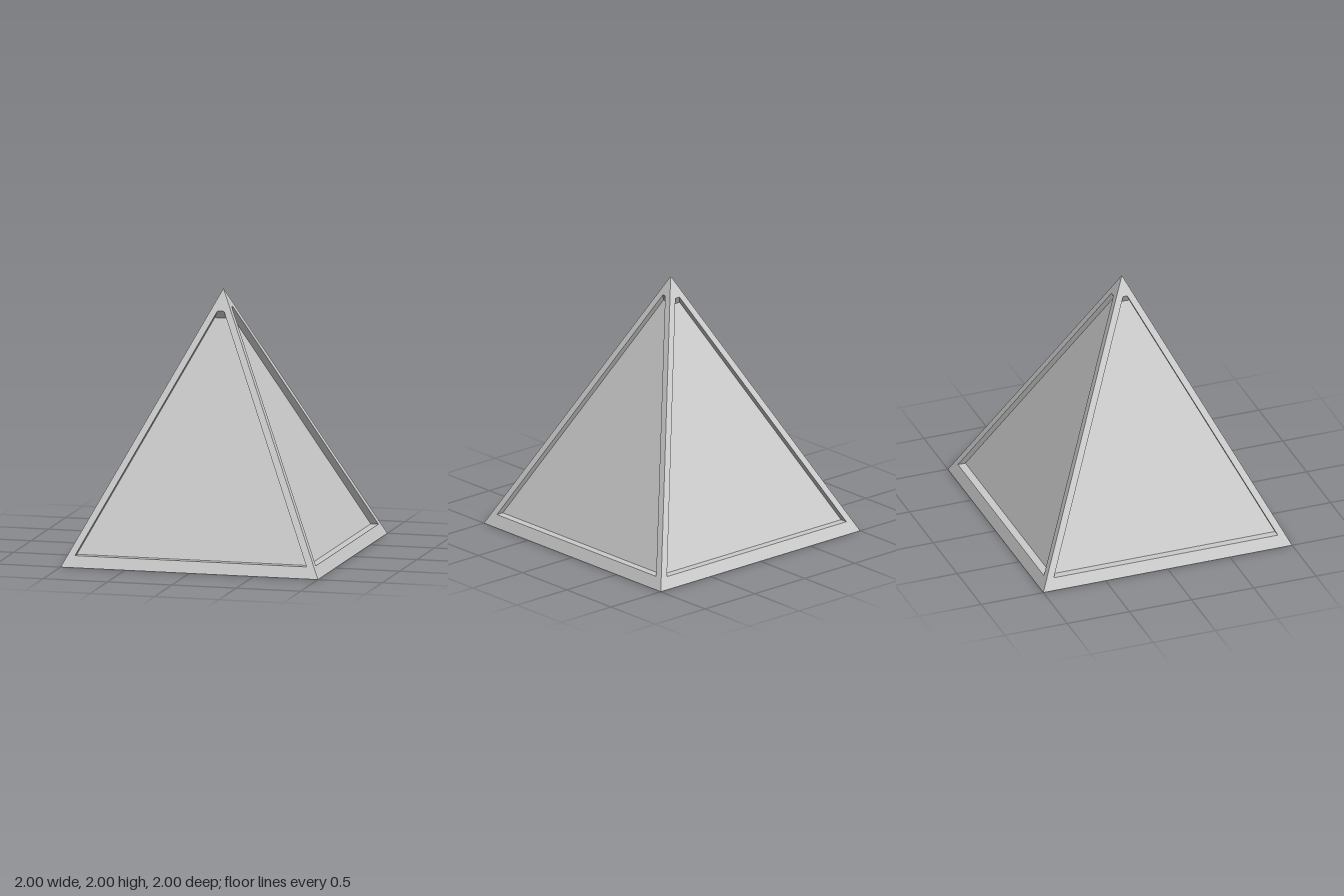
import * as THREE from 'three';

const APEX_SHIFT = 0.015; // the tip leans very slightly forward
const DEPTH = 0.06;       // horizontal depth of the recessed panels
const SILL = 0.085;       // height of the recess's lower edge
const CEILING_DROP = 0.058;

const material = new THREE.MeshStandardMaterial({ color: 0xcccccc, flatShading: true });

// Point on a sloping side: u across, y up, d inward
const onSide = (u, y, d = 0) => new THREE.Vector3(u, y, 1 - y / 2 - d);

// Half width of the recess opening at height y
const openingHalf = (y) => 0.9 - (y - SILL) * 0.4985;

// Mesh from convex polygons, turned to its side and sheared to the tip
function polygonMesh(name, polygons, angle) {
  const points = [];
  for (const p of polygons) {
    for (let i = 1; i < p.length - 1; i++) points.push(p[0], p[i], p[i + 1]);
  }
  const geometry = new THREE.BufferGeometry().setFromPoints(points);
  geometry.rotateY(angle);
  const pos = geometry.attributes.position;
  for (let i = 0; i < pos.count; i++) {
    pos.setZ(i, pos.getZ(i) + APEX_SHIFT * pos.getY(i) / 2);
  }
  geometry.computeVertexNormals();
  const mesh = new THREE.Mesh(geometry, material);
  mesh.name = name;
  return mesh;
}

// One side: border, recess walls and sunken panel
function createSide(name, top, angle) {
  const side = new THREE.Group();
  side.name = name;
  const [A, B, C] = [onSide(-1, 0), onSide(1, 0), onSide(0, 2)];
  const loop = (y, d) => [
    onSide(-0.9, SILL, d), onSide(0.9, SILL, d),
    onSide(openingHalf(y), y, d), onSide(-openingHalf(y), y, d),
  ];
  const rim = loop(top, 0);
  const floor = loop(top - CEILING_DROP, DEPTH);
  const [a, b, c, e] = rim;

  const border = [[A, B, b, a], [B, C, c, b], [C, e, c], [C, A, a, e]];
  const walls = rim.map((p, i) => {
    const j = (i + 1) % 4;
    return [p, rim[j], floor[j], floor[i]];
  });
  side.add(
    polygonMesh('border', border, angle),
    polygonMesh('recessWalls', walls, angle),
    polygonMesh('sunkenPanel', [floor], angle),
  );
  return side;
}

export function createModel() {
  const model = new THREE.Group();
  model.name = 'panelledPyramid';

  // Four sides, whose recesses end at slightly different heights
  const sides = [['frontSide', 1.84], ['leftSide', 1.865], ['backSide', 1.85], ['rightSide', 1.858]];
  sides.forEach(([name, top], k) => model.add(createSide(name, top, k * Math.PI / 2)));

  // Square underside
  const base = new THREE.Mesh(new THREE.PlaneGeometry(2, 2).rotateX(Math.PI / 2), material);
  base.name = 'base';
  model.add(base);
  return model;
}
